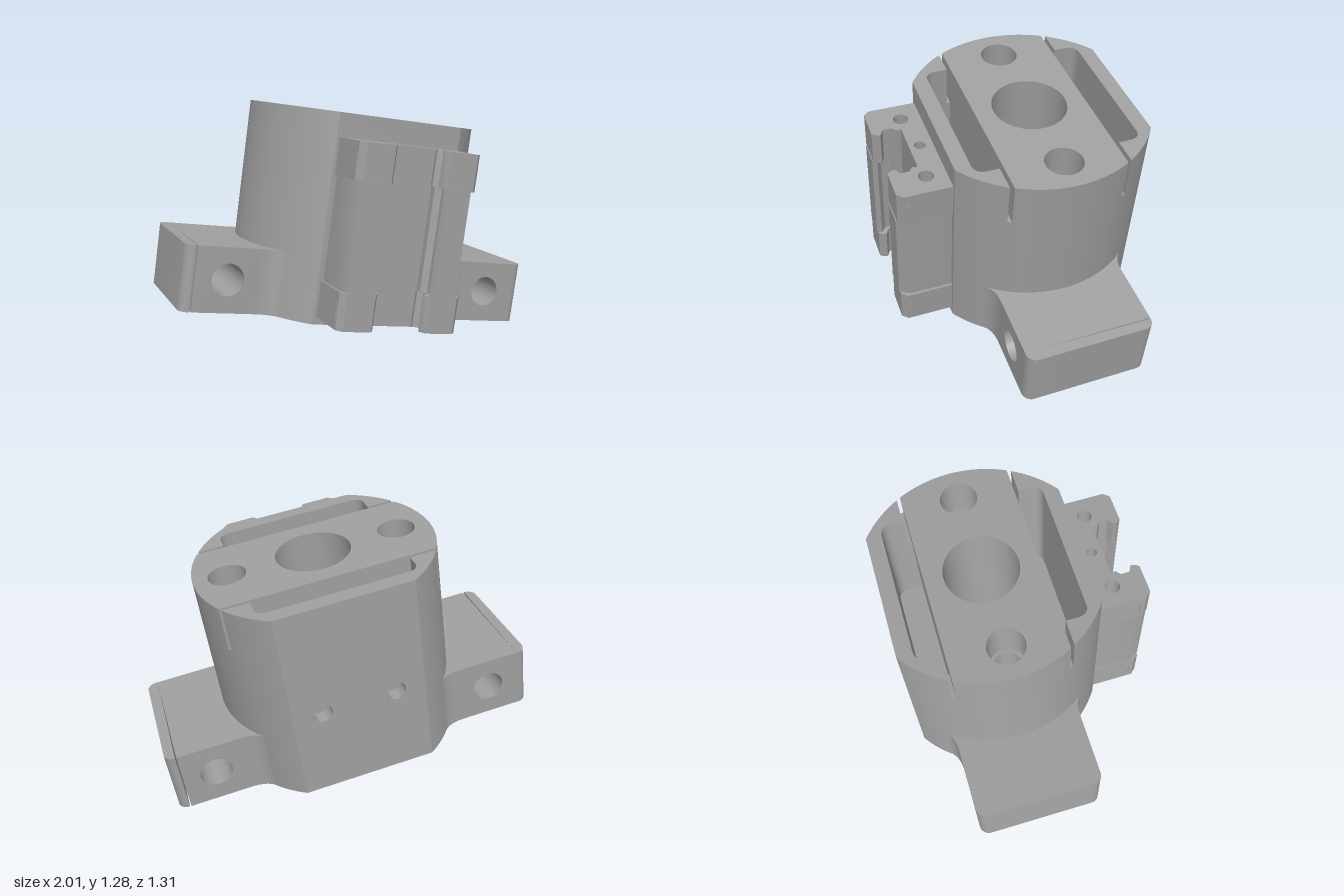
import * as THREE from 'three';
import { toCreasedNormals } from 'three/addons/utils/BufferGeometryUtils.js';

const R = 0.61, FLAT = 0.505, H = 1.062, WING_H = 0.335, WING_W = 0.335;
const FLOOR = 0.41, SLIT = 0.84;
const flatAngle = Math.asin(FLAT / R);

const gray = new THREE.MeshStandardMaterial({ color: 0xa0a0a0 });
gray.name = 'machined gray';

function circle(x, y, r) {
  return new THREE.Path().absarc(x, y, r, 0, Math.PI * 2, true);
}

function polygon(points) {
  return new THREE.Shape(points.map(([x, y]) => new THREE.Vector2(x, y)));
}

function add(parent, name, geometry) {
  const mesh = new THREE.Mesh(geometry, gray);
  mesh.name = name;
  parent.add(mesh);
  return mesh;
}

// Extrude a plan shape (x, z) upward from y0 to y1
function layer(shape, y0, y1) {
  const g = new THREE.ExtrudeGeometry(shape, { depth: y1 - y0, bevelEnabled: false, curveSegments: 32 });
  g.rotateX(Math.PI / 2).translate(0, y1, 0);
  return toCreasedNormals(g, 0.5);
}

// Extrude an elevation shape (x, y) from z0 to z1
function slab(shape, z0, z1) {
  const g = new THREE.ExtrudeGeometry(shape, { depth: z1 - z0, bevelEnabled: false, curveSegments: 32 });
  g.translate(0, 0, z0);
  return toCreasedNormals(g, 0.5);
}

// Round body with front and back flats, a recess for the back plate, optional wing roots
function bodyPlan(withWings) {
  const s = new THREE.Shape();
  const f = R * Math.cos(flatAngle);
  s.moveTo(-f, -FLAT);
  s.lineTo(-0.3, -FLAT);
  s.lineTo(-0.3, -0.43);
  s.lineTo(0.3, -0.43);
  s.lineTo(0.3, -FLAT);
  s.lineTo(f, -FLAT);
  for (const k of [1, -1]) {
    const base = k > 0 ? 0 : Math.PI;
    if (withWings) {
      const a = Math.asin(0.385 / R), px = R * Math.cos(a);
      s.absarc(0, 0, R, base - flatAngle, base - a, false);
      s.quadraticCurveTo(k * 0.51, -k * WING_W, k * 0.6, -k * WING_W);
      s.lineTo(k * 0.6, k * WING_W);
      s.quadraticCurveTo(k * 0.51, k * WING_W, k * px, k * 0.385);
      s.absarc(0, 0, R, base + a, base + flatAngle, false);
    } else {
      s.absarc(0, 0, R, base - flatAngle, base + flatAngle, false);
    }
  }
  return s;
}

function drill(shape, sideRadius) {
  shape.holes.push(circle(0, 0, 0.19), circle(-0.44, 0, sideRadius), circle(0.44, 0, sideRadius));
  return shape;
}

// Pocket outline from its inner edge, with rounded outer corners
function pocket(k) {
  const p = new THREE.Path();
  p.moveTo(-0.395, k * 0.285);
  p.lineTo(-0.395, k * 0.365);
  p.quadraticCurveTo(-0.395, k * 0.425, -0.335, k * 0.425);
  p.lineTo(0.335, k * 0.425);
  p.quadraticCurveTo(0.395, k * 0.425, 0.395, k * 0.365);
  p.lineTo(0.395, k * 0.285);
  p.closePath();
  return p;
}

function buildBody(parent) {
  add(parent, 'base', layer(drill(bodyPlan(true), 0.06), 0, WING_H));
  add(parent, 'lowerBody', layer(drill(bodyPlan(false), 0.06), WING_H, FLOOR));
  const mid = drill(bodyPlan(false), 0.075);
  mid.holes.push(pocket(1), pocket(-1));
  add(parent, 'pocketedBody', layer(mid, FLOOR, SLIT));

  // Central bridge between the two slits
  const b = Math.asin(0.285 / R);
  const bridge = new THREE.Shape();
  bridge.absarc(0, 0, R, -b, b, false);
  bridge.absarc(0, 0, R, Math.PI - b, Math.PI + b, false);
  bridge.closePath();
  add(parent, 'topBridge', layer(drill(bridge, 0.095), SLIT, H));

  // Outer clamp walls around the pockets
  const c = Math.asin(0.305 / R);
  const wall = new THREE.Shape();
  wall.absarc(0, 0, R, c, flatAngle, false);
  wall.absarc(0, 0, R, Math.PI - flatAngle, Math.PI - c, false);
  wall.lineTo(-0.395, 0.305);
  wall.lineTo(-0.395, 0.365);
  wall.quadraticCurveTo(-0.395, 0.425, -0.335, 0.425);
  wall.lineTo(0.335, 0.425);
  wall.quadraticCurveTo(0.395, 0.425, 0.395, 0.365);
  wall.lineTo(0.395, 0.305);
  wall.closePath();
  const wallGeo = layer(wall, SLIT, H);
  add(parent, 'frontClampWall', wallGeo);
  add(parent, 'backClampWall', wallGeo).rotation.y = Math.PI;

  // Back plate with two cross holes
  const plate = polygon([[-0.3, 0], [0.3, 0], [0.3, SLIT], [-0.3, SLIT]]);
  plate.holes.push(circle(-0.19, 0.47, 0.05), circle(0.19, 0.47, 0.05));
  add(parent, 'backPlate', slab(plate, -FLAT, -0.43));
}

// Mounting wing: drilled block plus a rounded end
function buildWing(parent, name) {
  const wing = new THREE.Group();
  wing.name = name;
  const block = polygon([[0.595, 0], [0.92, 0], [0.92, WING_H], [0.595, WING_H]]);
  block.holes.push(circle(0.75, 0.17, 0.083));
  add(wing, 'wingBlock', slab(block, -WING_W, WING_W));
  const end = new THREE.Shape();
  const e = 0.977, r = 0.05;
  end.moveTo(0.92, -WING_W);
  end.absarc(e - r, -WING_W + r, r, -Math.PI / 2, 0, false);
  end.absarc(e - r, WING_W - r, r, 0, Math.PI / 2, false);
  end.lineTo(0.92, WING_W);
  add(wing, 'wingEnd', layer(end, 0, WING_H));
  parent.add(wing);
  return wing;
}

// U-shaped slide carriage on the front flat
function uProfile(half) {
  const right = half.map(([x, z]) => [x, z]);
  const left = half.map(([x, z]) => [-x, z]).reverse();
  return polygon([...right, ...left]);
}

function buildCarriage(parent) {
  const carriage = new THREE.Group();
  carriage.name = 'slideCarriage';
  const main = [[0.315, 0.505], [0.315, 0.72], [0.285, 0.78], [0.16, 0.78], [0.15, 0.755],
    [0.18, 0.73], [0.18, 0.68], [0.15, 0.66], [0.15, 0.625]];
  const cap = [[0.327, 0.505], [0.327, 0.745], [0.3, 0.775], [0.15, 0.775], [0.135, 0.755],
    [0.13, 0.735], [0.165, 0.715], [0.165, 0.67], [0.14, 0.65], [0.145, 0.625]];
  add(carriage, 'carriageBlock', layer(uProfile(main), 0.225, 0.757));
  for (const [name, y0, y1] of [['lowerCap', 0.04, 0.225], ['upperCap', 0.757, 0.942]]) {
    const s = uProfile(cap);
    s.holes.push(circle(-0.22, 0.606, 0.038), circle(0.22, 0.606, 0.038), circle(0, 0.571, 0.028));
    add(carriage, name, layer(s, y0, y1));
    // Small raised tabs on the cap sides
    for (const k of [1, -1]) {
      const tab = add(carriage, 'capTab', new THREE.BoxGeometry(0.006, 0.08, 0.02));
      tab.position.set(k * 0.328, (y0 + y1) / 2 - 0.005, 0.73);
    }
  }
  parent.add(carriage);
}

export function createModel() {
  const model = new THREE.Group();
  model.name = 'slideMount';
  const mount = new THREE.Group();
  mount.name = 'tiltedMount';
  buildBody(mount);
  buildWing(mount, 'leftWing');
  buildWing(mount, 'rightWing').rotation.y = Math.PI;
  buildCarriage(mount);

  // Whole part leans and turns slightly
  mount.rotation.set(0, THREE.MathUtils.degToRad(2.6), THREE.MathUtils.degToRad(-8.1), 'ZYX');
  model.add(mount);

  // Centre it and stand it on the ground
  model.updateMatrixWorld(true);
  const box = new THREE.Box3().setFromObject(model, true);
  const c = box.getCenter(new THREE.Vector3());
  mount.position.set(-c.x, -box.min.y, -c.z);
  return model;
}
